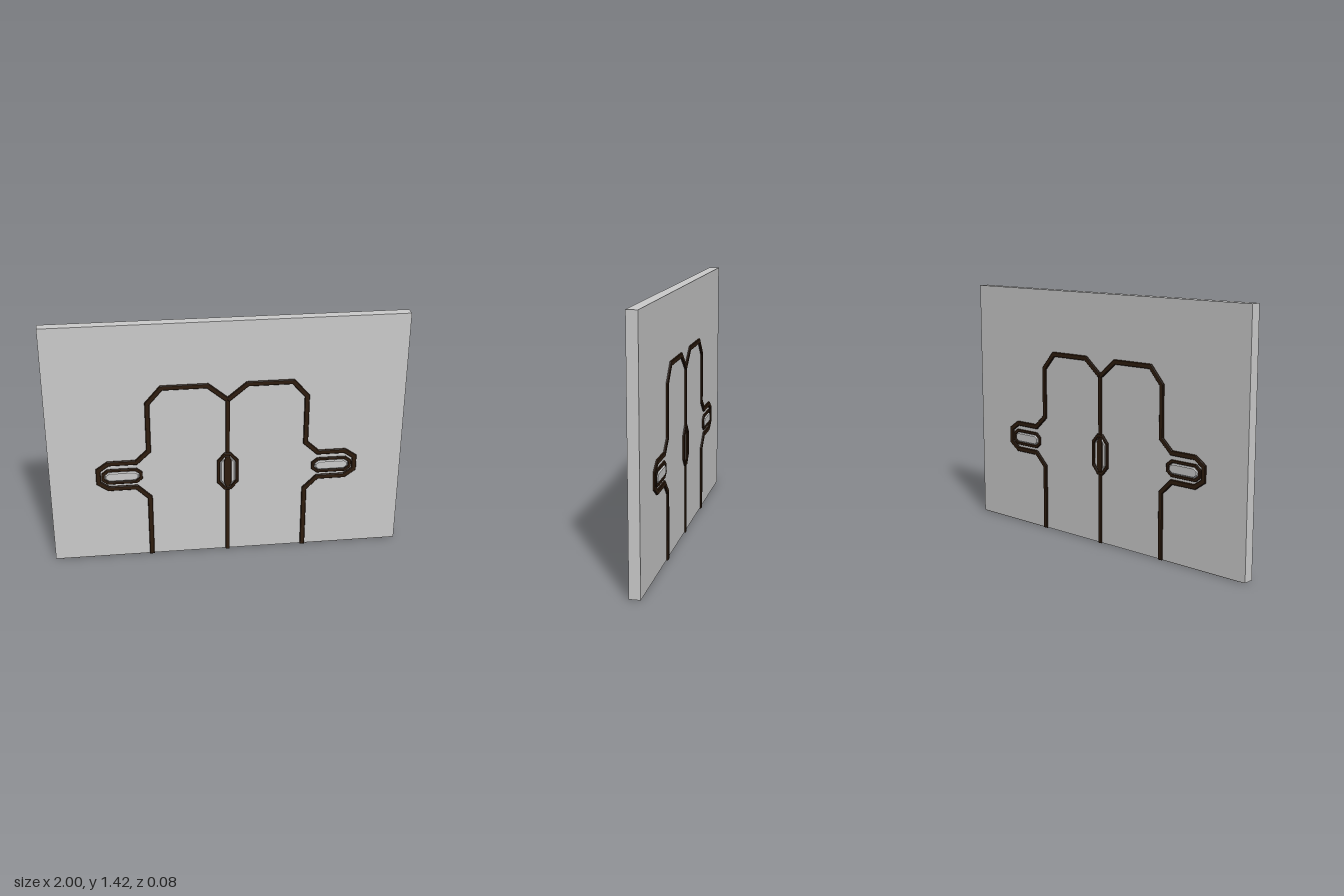
import * as THREE from 'three';

const grey = new THREE.MeshStandardMaterial({ color: 0xcccccc, flatShading: true });
const brown = new THREE.MeshStandardMaterial({ color: 0x2e1c0e, flatShading: true });

const WALL = 0.03; // half thickness of the wall
const V = (x, y) => new THREE.Vector2(x, y);

function add(parent, name, geometry, material) {
  const mesh = new THREE.Mesh(geometry, material);
  mesh.name = name;
  parent.add(mesh);
  return mesh;
}

function box(parent, name, material, [x0, x1], [y0, y1], [z0, z1]) {
  const mesh = add(parent, name, new THREE.BoxGeometry(x1 - x0, y1 - y0, z1 - z0), material);
  mesh.position.set((x0 + x1) / 2, (y0 + y1) / 2, (z0 + z1) / 2);
}

// Raised shape on the wall face with a chamfered outer edge
function raise(shape, top, bevel) {
  const base = WALL - 0.004;
  const geometry = new THREE.ExtrudeGeometry(shape, {
    depth: top - base - bevel * 2, bevelEnabled: true, bevelSegments: 1,
    bevelSize: bevel, bevelThickness: bevel, bevelOffset: -bevel,
  });
  return geometry.translate(0, 0, base + bevel);
}

// Mitred strip of constant width along an open polyline
function strip(points, width) {
  const p = points.map(([x, y]) => V(x, y));
  const left = [], right = [];
  p.forEach((q, i) => {
    const a = q.clone().sub(p[Math.max(i - 1, 0)]).normalize();
    const b = p[Math.min(i + 1, p.length - 1)].clone().sub(q).normalize();
    const dir = a.clone().add(b).normalize();
    const seg = i === 0 ? b : a;
    const n = V(-dir.y, dir.x).multiplyScalar(width / 2 / dir.dot(seg));
    left.push(q.clone().add(n));
    right.push(q.clone().sub(n));
  });
  return new THREE.Shape([...left, ...right.reverse()]);
}

// Rectangle with cut corners
function octagon(x, y, w, h, cx, cy) {
  return [V(x - w + cx, y - h), V(x + w - cx, y - h), V(x + w, y - h + cy), V(x + w, y + h - cy),
    V(x + w - cx, y + h), V(x - w + cx, y + h), V(x - w, y + h - cy), V(x - w, y - h + cy)];
}

function ring(outer, inner) {
  const shape = new THREE.Shape(outer);
  shape.holes.push(new THREE.Path(inner));
  return shape;
}

// Half outline of the doorway, stepping out around the side handle
const outline = [[0.443, 0], [0.443, 0.378], [0.515, 0.449], [0.672, 0.449], [0.728, 0.488],
  [0.728, 0.568], [0.672, 0.607], [0.515, 0.607], [0.443, 0.674], [0.443, 0.963],
  [0.364, 1.053], [0.11, 1.053], [0, 0.963]];

function buildFace(name) {
  const face = new THREE.Group();
  face.name = name;

  for (const s of [1, -1]) {
    const path = outline.map(([x, y]) => [s * x, y]);
    add(face, 'doorwayTrim', raise(strip(path, 0.027), 0.04, 0.003), brown);

    // Side handle and its surround
    const hx = s * 0.596, hy = 0.524;
    add(face, 'sideHandleSurround', raise(ring(
      octagon(hx, hy, 0.115, 0.047, 0.032, 0.026),
      octagon(hx, hy, 0.098, 0.031, 0.024, 0.019)), 0.039, 0.002), brown);
    add(face, 'sideHandle', raise(new THREE.Shape(
      octagon(hx, hy, 0.095, 0.028, 0.022, 0.016)), 0.042, 0.006), grey);

    // Dark strip under the wall beside the doorway
    box(face, 'baseStrip', brown, s > 0 ? [0.45, 0.995] : [-0.995, -0.45], [0, 0.004], [0.009, 0.028]);
  }

  // Seam between the two doors
  box(face, 'doorSeam', brown, [-0.011, 0.011], [0, 0.97], [WALL - 0.004, 0.038]);

  // Paired centre handles with surround and dark spindle
  const cy = 0.518;
  add(face, 'centreHandleSurround', raise(ring(
    octagon(0, cy, 0.061, 0.118, 0.042, 0.048),
    octagon(0, cy, 0.044, 0.098, 0.03, 0.038)), 0.04, 0.003), brown);
  add(face, 'centreHandles', raise(new THREE.Shape(
    octagon(0, cy, 0.04, 0.092, 0.025, 0.035)), 0.038, 0.004), grey);
  add(face, 'centreSpindle', raise(new THREE.Shape(
    octagon(0, cy, 0.021, 0.1, 0.01, 0.03)), 0.041, 0.003), brown);
  return face;
}

export function createModel() {
  const model = new THREE.Group();
  model.name = 'doubleDoorWall';
  box(model, 'wall', grey, [-1, 1], [0.002, 1.42], [-WALL, WALL]);

  // The same relief on both faces
  const back = buildFace('backFace');
  back.rotation.y = Math.PI;
  model.add(buildFace('frontFace'), back);
  return model;
}
